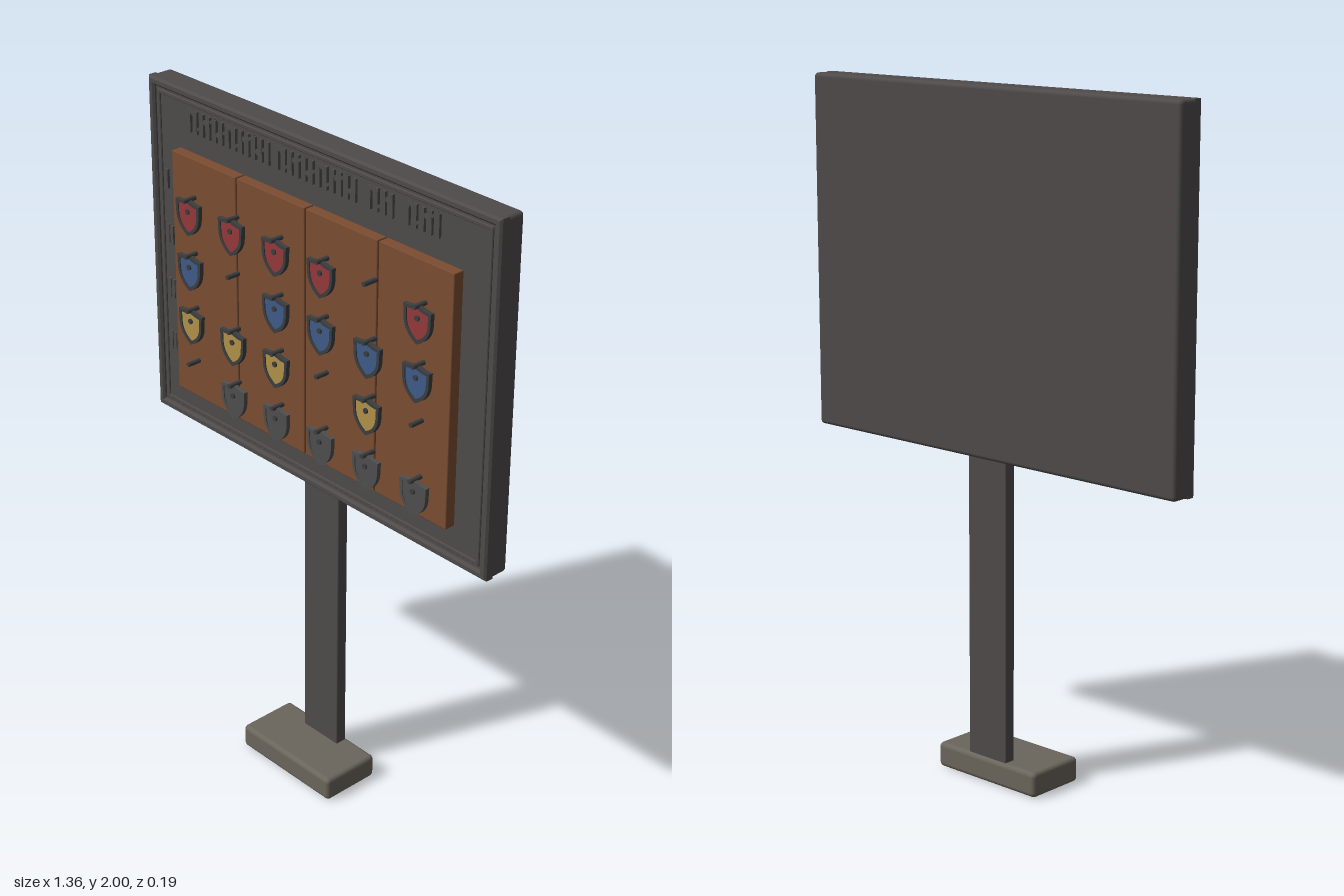
import * as THREE from 'three';
import { RoundedBoxGeometry } from 'three/addons/geometries/RoundedBoxGeometry.js';

const mat = (name, color) => {
  const m = new THREE.MeshStandardMaterial({ color });
  m.name = name;
  return m;
};

export function createModel() {
  const iron = mat('dark iron', 0x4f4b4b);
  const rimIron = mat('rim iron', 0x3c3e40);
  const stone = mat('base stone', 0x6b665c);
  const wood = mat('brown wood', 0x7b4d32);
  const red = mat('red paint', 0x96393b);
  const blue = mat('blue paint', 0x3f5b8a);
  const yellow = mat('yellow paint', 0xb2924a);
  const grey = mat('grey paint', 0x504f50);

  const model = new THREE.Group();
  model.name = 'shieldBoard';

  const add = (parent, name, geometry, material, x = 0, y = 0, z = 0) => {
    const mesh = new THREE.Mesh(geometry, material);
    mesh.name = name;
    mesh.position.set(x, y, z);
    parent.add(mesh);
    return mesh;
  };
  const group = (parent, name, x = 0, y = 0, z = 0) => {
    const g = new THREE.Group();
    g.name = name;
    g.position.set(x, y, z);
    parent.add(g);
    return g;
  };
  const rect = (w, h) => [[-w, -h], [w, -h], [w, h], [-w, h]].map(p => new THREE.Vector2(...p));
  // Rectangular ring given by outer and inner half sizes
  const ring = (w, h, iw, ih, depth, bevel) => {
    const s = new THREE.Shape(rect(w - bevel, h - bevel));
    s.holes.push(new THREE.Path(rect(iw + bevel, ih + bevel).reverse()));
    return new THREE.ExtrudeGeometry(s, {
      depth: depth - 2 * bevel, bevelEnabled: true, bevelSize: bevel, bevelThickness: bevel, bevelSegments: 1,
    }).translate(0, 0, bevel);
  };

  // Base and post
  add(model, 'base', new RoundedBoxGeometry(0.38, 0.075, 0.19, 3, 0.014), stone, 0, 0.0375, 0);
  add(model, 'post', new RoundedBoxGeometry(0.144, 0.93, 0.036, 2, 0.004), iron, 0, 0.52, -0.068);

  // Board with a raised border and an inner step
  const board = group(model, 'board', 0, 1.48, 0);
  add(board, 'boardBody', new RoundedBoxGeometry(1.36, 1.04, 0.073, 3, 0.012), iron, 0, 0, -0.0585);
  add(board, 'border', ring(0.68, 0.52, 0.656, 0.496, 0.035, 0.006), iron, 0, 0, -0.046);
  add(board, 'borderStep', ring(0.648, 0.488, 0.636, 0.476, 0.012, 0.002), iron, 0, 0, -0.029);

  // Four wooden planks with narrow seams
  const planks = group(model, 'planks');
  const seams = [-0.555, -0.279, 0, 0.279, 0.555];
  for (let i = 0; i < 4; i++) {
    const w = seams[i + 1] - seams[i] - 0.005;
    add(planks, 'plank', new RoundedBoxGeometry(w, 0.745, 0.034, 1, 0.003), wood,
      (seams[i] + seams[i + 1]) / 2, 1.4475, -0.004);
  }

  // Header ornament: abstract upright bars with alternating slanted links
  const ornament = group(model, 'headerOrnament');
  const runs = [[-0.505, 13], [-0.14, 12], [0.215, 4], [0.355, 5]];
  for (const [start, count] of runs) {
    for (let i = 0; i < count; i++) {
      const x = start + i * 0.0272;
      add(ornament, 'ornamentBar', new THREE.BoxGeometry(0.01, 0.066, 0.012), iron, x, 1.912, -0.02);
      if (i < count - 1) {
        const link = add(ornament, 'ornamentLink', new THREE.BoxGeometry(0.03, 0.009, 0.011), iron,
          x + 0.0136, 1.912 + [0.024, -0.012, 0.008][i % 3], -0.02);
        link.rotation.z = i % 2 ? 0.5 : -0.5;
      }
    }
  }

  // Shield outline, scaled for the outer edge and the painted face
  const outline = (Type, k) => {
    const s = new Type();
    s.moveTo(0, 0.051 * k);
    s.quadraticCurveTo(-0.025 * k, 0.041 * k, -0.05 * k, 0.042 * k);
    s.lineTo(-0.048 * k, 0.0);
    s.quadraticCurveTo(-0.044 * k, -0.038 * k, 0, -0.06 * k);
    s.quadraticCurveTo(0.044 * k, -0.038 * k, 0.048 * k, 0.0);
    s.lineTo(0.05 * k, 0.042 * k);
    s.quadraticCurveTo(0.025 * k, 0.041 * k, 0, 0.051 * k);
    return s;
  };
  const rimShape = outline(THREE.Shape, 1);
  rimShape.holes.push(outline(THREE.Path, 0.8));
  const extrude = (shape, depth) =>
    new THREE.ExtrudeGeometry(shape, { depth, bevelEnabled: false, curveSegments: 6 });
  const rimGeo = extrude(rimShape, 0.013);
  const faceGeo = extrude(outline(THREE.Shape, 0.82), 0.008);
  const studGeo = new THREE.CylinderGeometry(0.008, 0.008, 0.006, 10).rotateX(Math.PI / 2);
  const pegGeo = new THREE.CylinderGeometry(0.007, 0.007, 0.048, 10).rotateX(Math.PI / 2);

  // Rows of pegs, each with one column left empty
  const columns = [-0.455, -0.273, -0.092, 0.09, 0.272, 0.455];
  const rows = [
    { y: 1.658, paint: red, empty: [4] },
    { y: 1.488, paint: blue, empty: [1] },
    { y: 1.318, paint: yellow, empty: [3, 5] },
    { y: 1.148, paint: grey, empty: [0] },
  ];
  rows.forEach(({ y, paint, empty }, r) => {
    columns.forEach((x, c) => {
      add(model, 'peg', pegGeo, rimIron, x, y + 0.049, 0.032);
      if (empty.includes(c)) return;
      const shield = group(model, 'shield', x, y, 0.03);
      add(shield, 'shieldRim', rimGeo, paint === grey ? grey : rimIron);
      add(shield, 'shieldFace', faceGeo, paint, 0, 0, 0.002);
      add(shield, 'shieldStud', studGeo, rimIron, 0, 0.014, 0.012);
    });
    // Tally marks counting the row
    for (let i = 0; i <= r; i++) {
      add(model, 'tallyMark', new THREE.BoxGeometry(0.013, 0.058, 0.012), iron,
        -0.615 + i * 0.0165, y + 0.049, -0.02);
    }
  });

  return model;
}
